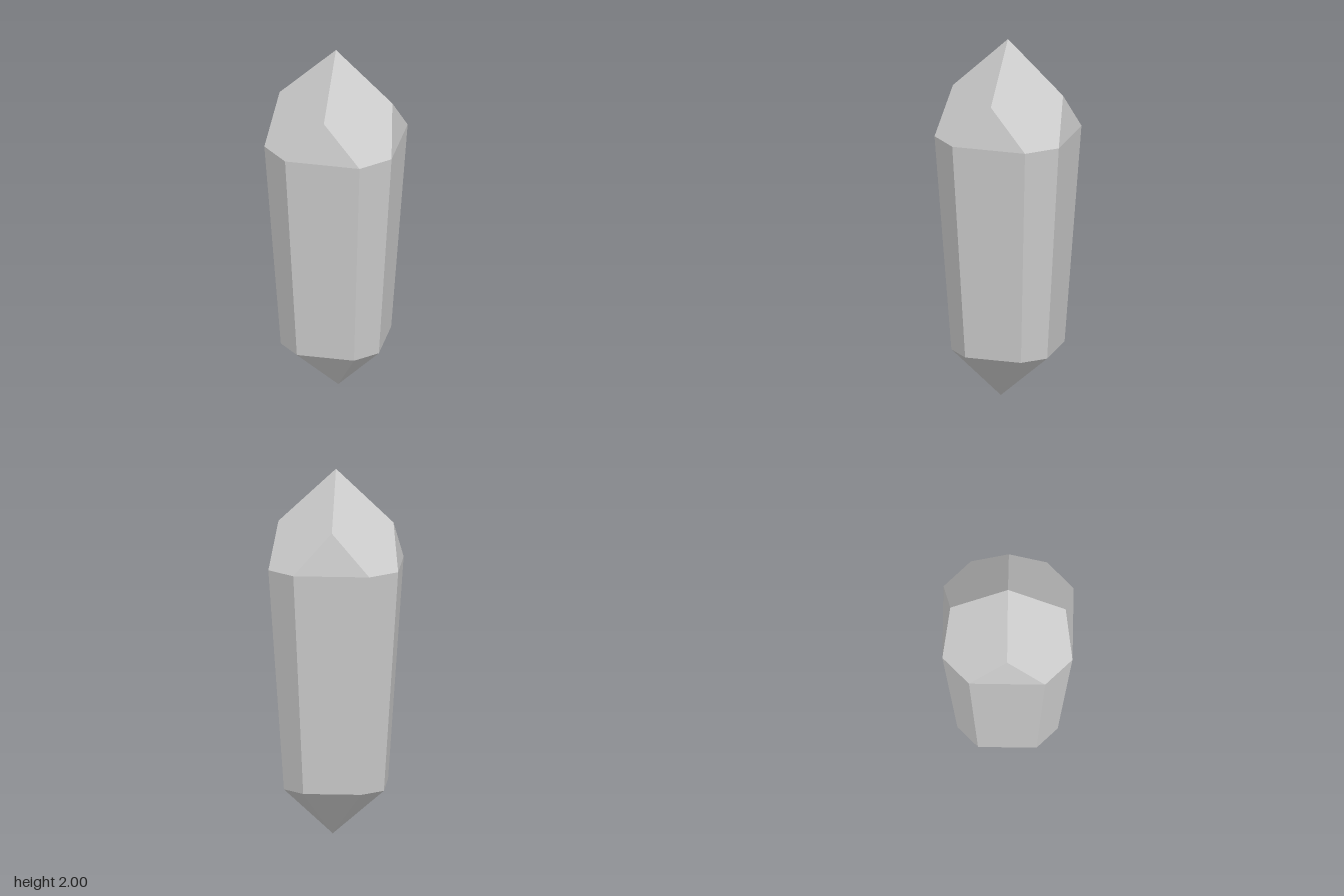
import * as THREE from 'three';

// Eight-cornered ring: four narrow sides alternate with four wide diagonal sides
function ring(y, r, h) {
  return [[r, -h], [r, h], [h, r], [-h, r], [-r, h], [-r, -h], [-h, -r], [h, -r]]
    .map(([x, z]) => new THREE.Vector3(x, y, z));
}

// Flat-shaded facets: each polygon is fanned from its first corner and gets one outward normal
function facetGeometry(facets) {
  const positions = [], normals = [];
  const core = new THREE.Vector3(0, 1, 0);
  for (const facet of facets) {
    let pts = facet;
    const normal = new THREE.Vector3(), mid = new THREE.Vector3();
    pts.forEach((p, i) => {
      const q = pts[(i + 1) % pts.length];
      normal.add(new THREE.Vector3().crossVectors(p.clone().sub(core), q.clone().sub(core)));
      mid.addScaledVector(p, 1 / pts.length);
    });
    normal.normalize();
    if (normal.dot(mid.sub(core)) < 0) {
      normal.negate();
      pts = [pts[0], ...pts.slice(1).reverse()];
    }
    for (let i = 1; i < pts.length - 1; i++) {
      for (const p of [pts[0], pts[i], pts[i + 1]]) {
        positions.push(p.x, p.y, p.z);
        normals.push(normal.x, normal.y, normal.z);
      }
    }
  }
  const geometry = new THREE.BufferGeometry();
  geometry.setAttribute('position', new THREE.Float32BufferAttribute(positions, 3));
  geometry.setAttribute('normal', new THREE.Float32BufferAttribute(normals, 3));
  return geometry;
}

export function createModel() {
  const model = new THREE.Group();
  model.name = 'crystal';
  const grey = new THREE.MeshStandardMaterial({ color: 0xcccccc });
  grey.name = 'crystal grey';

  const add = (name, facets) => {
    const mesh = new THREE.Mesh(facetGeometry(facets), grey);
    mesh.name = name;
    model.add(mesh);
  };

  const lower = ring(0.277, 0.3, 0.079);
  const upper = ring(1.483, 0.39, 0.102);
  const apex = new THREE.Vector3(0, 2, 0);
  const tip = new THREE.Vector3(-0.01, 0, 0.038);
  const shoulders = [[1, 1], [-1, 1], [-1, -1], [1, -1]]
    .map(([x, z]) => new THREE.Vector3(0.218 * x, 1.711, 0.218 * z));

  // Tapered eight-sided shaft
  add('shaft', lower.map((p, i) => {
    const j = (i + 1) % 8;
    return [p, lower[j], upper[j], upper[i]];
  }));

  // Four-sided point, with a small bevel at each diagonal
  add('point', shoulders.map((s, k) =>
    [apex, shoulders[(k + 3) % 4], upper[2 * k], upper[2 * k + 1], s]));
  add('shoulderBevels', shoulders.map((s, k) =>
    [s, upper[2 * k + 1], upper[(2 * k + 2) % 8]]));

  // Off-centre base: two broad facets and two triangles
  add('base', [
    [tip, ...lower.slice(0, 4)],
    [tip, lower[3], lower[4]],
    [tip, ...lower.slice(4, 8)],
    [tip, lower[7], lower[0]],
  ]);

  return model;
}
